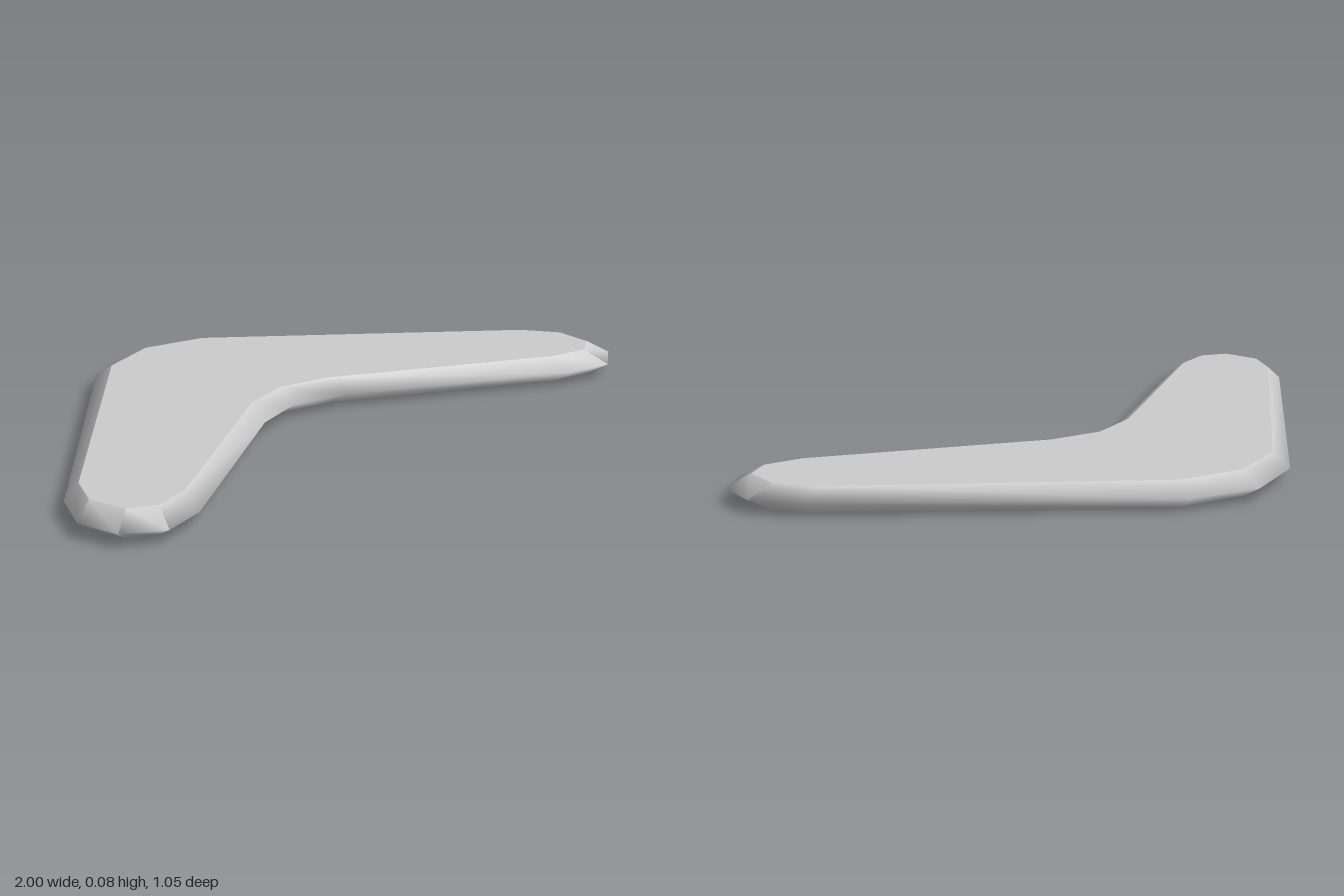
import * as THREE from 'three';

const THICKNESS = 0.075;

// Half outlines as [x, z], from the back elbow round the tip to the front elbow
const ridgeHalf = [[0, -0.53], [0.195, -0.465], [0.925, 0.205], [1, 0.335], [0.98, 0.455],
  [0.88, 0.525], [0.75, 0.495], [0.165, 0.16], [0, 0.115]];
const faceHalf = [[0, -0.465], [0.18, -0.415], [0.88, 0.21], [0.938, 0.31], [0.922, 0.42],
  [0.85, 0.46], [0.74, 0.435], [0.15, 0.098], [0, 0.06]];

// Complete a half outline into a closed loop, symmetric in x
const mirrorLoop = (half) => [...half, ...half.slice(1, -1).reverse().map(([x, z]) => [-x, z])];

// Bevelled edge between two loop indices; smooth within, creased at its ends
function rimStrip(ridge, face, start, end) {
  const positions = [], index = [];
  for (let i = start; i <= end; i++) {
    const [fx, fz] = face[i % face.length];
    const [rx, rz] = ridge[i % ridge.length];
    positions.push(fx, THICKNESS, fz, rx, THICKNESS / 2, rz, fx, 0, fz);
  }
  for (let i = 0; i < end - start; i++) {
    for (let row = 0; row < 2; row++) {
      const a = i * 3 + row, b = a + 3;
      index.push(a, b, a + 1, b, b + 1, a + 1);
    }
  }
  const geometry = new THREE.BufferGeometry();
  geometry.setAttribute('position', new THREE.Float32BufferAttribute(positions, 3));
  geometry.setIndex(index);
  geometry.computeVertexNormals();
  return geometry;
}

// Flat face turned up (side = 1) or down (side = -1)
function flatFace(loop, side) {
  const shape = new THREE.Shape(loop.map(([x, z]) => new THREE.Vector2(x, -side * z)));
  return new THREE.ShapeGeometry(shape).rotateX(-side * Math.PI / 2);
}

export function createModel() {
  const group = new THREE.Group();
  group.name = 'boomerang';
  const material = new THREE.MeshStandardMaterial({ color: 0xcccccc });
  const add = (name, geometry, parent = group) => {
    const mesh = new THREE.Mesh(geometry, material);
    mesh.name = name;
    parent.add(mesh);
    return mesh;
  };

  const ridge = mirrorLoop(ridgeHalf);
  const face = mirrorLoop(faceHalf);

  // Flat faces
  add('topFace', flatFace(face, 1)).position.y = THICKNESS;
  add('bottomFace', flatFace(face, -1));

  // Rim: long smooth runs, with hard corners at the wing tips
  const rim = new THREE.Group();
  rim.name = 'rim';
  group.add(rim);
  const corners = [3, 4, 5, 11, 12, 13, 19];
  const names = ['leftTipSide', 'leftTipEnd', 'frontEdge', 'rightTipEnd', 'rightTipSide', 'backEdge'];
  names.forEach((name, i) => add(name, rimStrip(ridge, face, corners[i], corners[i + 1]), rim));

  return group;
}
